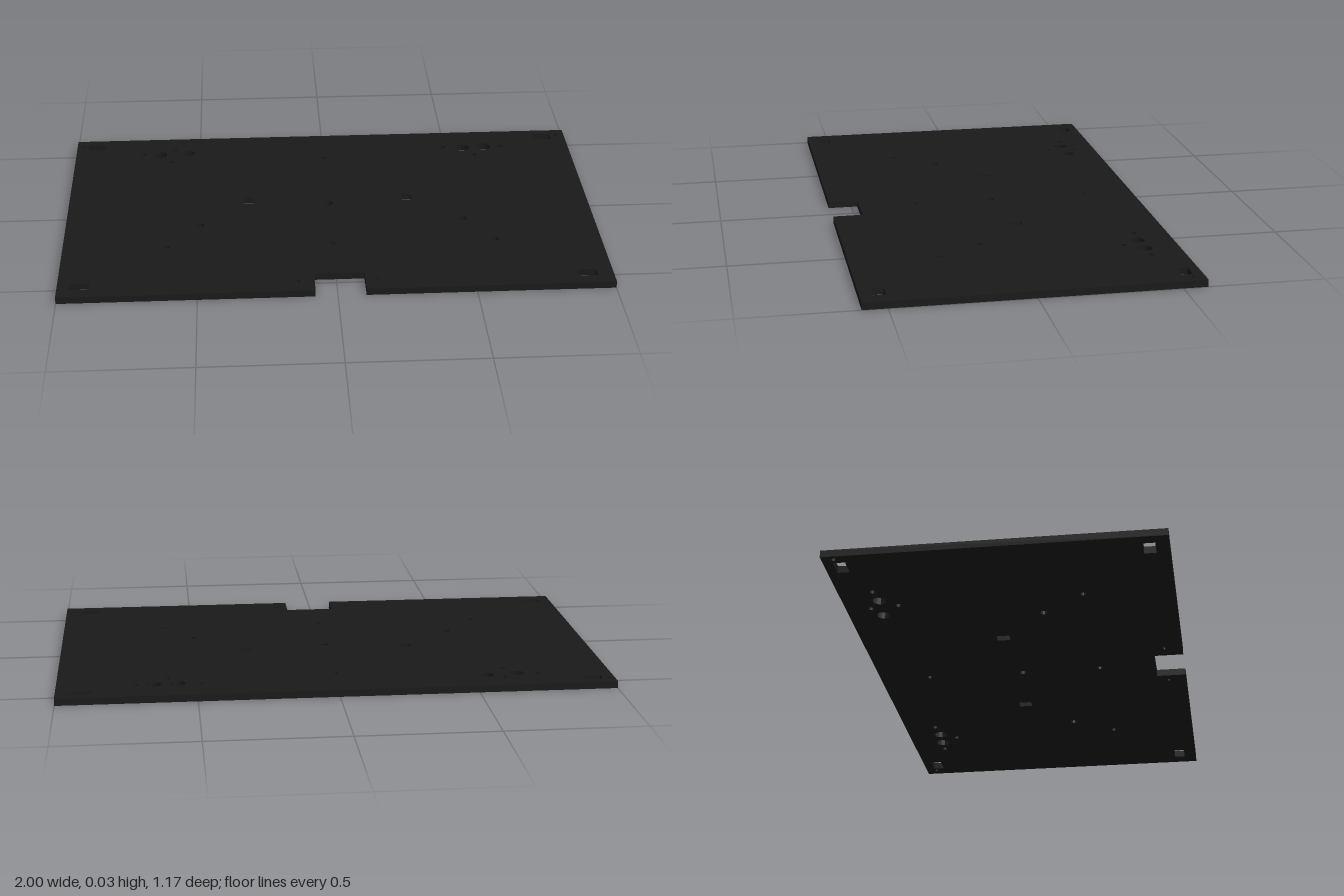
import * as THREE from 'three';

const THICKNESS = 0.026;
const HALF_DEPTH = 0.587;

// Round holes: [x, z, radius]
const ROUND_HOLES = [
  // back corner pin holes
  [-0.977, -0.543, 0.009], [0.963, -0.543, 0.009],
  // left and right back clusters
  [-0.729, -0.463, 0.012], [-0.659, -0.455, 0.026], [-0.603, -0.495, 0.011], [-0.547, -0.463, 0.025],
  [0.488, -0.463, 0.012], [0.568, -0.455, 0.028], [0.655, -0.46, 0.028], [0.722, -0.463, 0.012],
  // centre and mid-plate holes
  [0.002, -0.03, 0.015], [-0.493, 0.112, 0.015], [0.503, 0.112, 0.015],
  // pin holes beside the notch
  [-0.14, 0.521, 0.008], [0.143, 0.521, 0.008],
];
// Two rows of screw holes
for (const z of [-0.393, 0.267]) for (const x of [-0.617, -0.003, 0.608]) ROUND_HOLES.push([x, z, 0.012]);

// Rectangular slots: [x, z, width, depth]
const SLOTS = [[-0.306, -0.064, 0.037, 0.049], [0.303, -0.064, 0.037, 0.049]];
for (const x of [-0.919, 0.905]) for (const z of [-0.531, 0.519]) SLOTS.push([x, z, 0.07, 0.042]);

function polygon(points, Type) {
  return new Type(points.map(([x, z]) => new THREE.Vector2(x, -z)));
}

function roundHole([x, z, r]) {
  const points = [];
  for (let i = 0; i < 12; i++) {
    const a = (i / 12) * Math.PI * 2;
    points.push([x + r * Math.cos(a), z + r * Math.sin(a)]);
  }
  return polygon(points, THREE.Path);
}

function slot([x, z, w, d]) {
  return polygon([[x - w / 2, z - d / 2], [x + w / 2, z - d / 2], [x + w / 2, z + d / 2], [x - w / 2, z + d / 2]], THREE.Path);
}

export function createModel() {
  const group = new THREE.Group();
  group.name = 'mountingPlate';

  // Outline with the cable notch in the front edge
  const outline = polygon([
    [-1, HALF_DEPTH], [-0.08, HALF_DEPTH], [-0.08, 0.477], [0.102, 0.477],
    [0.102, HALF_DEPTH], [1, HALF_DEPTH], [1, -HALF_DEPTH], [-1, -HALF_DEPTH],
  ], THREE.Shape);
  outline.holes.push(...ROUND_HOLES.map(roundHole), ...SLOTS.map(slot));

  const geometry = new THREE.ExtrudeGeometry(outline, { depth: THICKNESS, bevelEnabled: false });
  geometry.rotateX(-Math.PI / 2);

  const plate = new THREE.Mesh(geometry, new THREE.MeshStandardMaterial({ color: 0x1a1a1a }));
  plate.name = 'plate';
  group.add(plate);
  return group;
}
